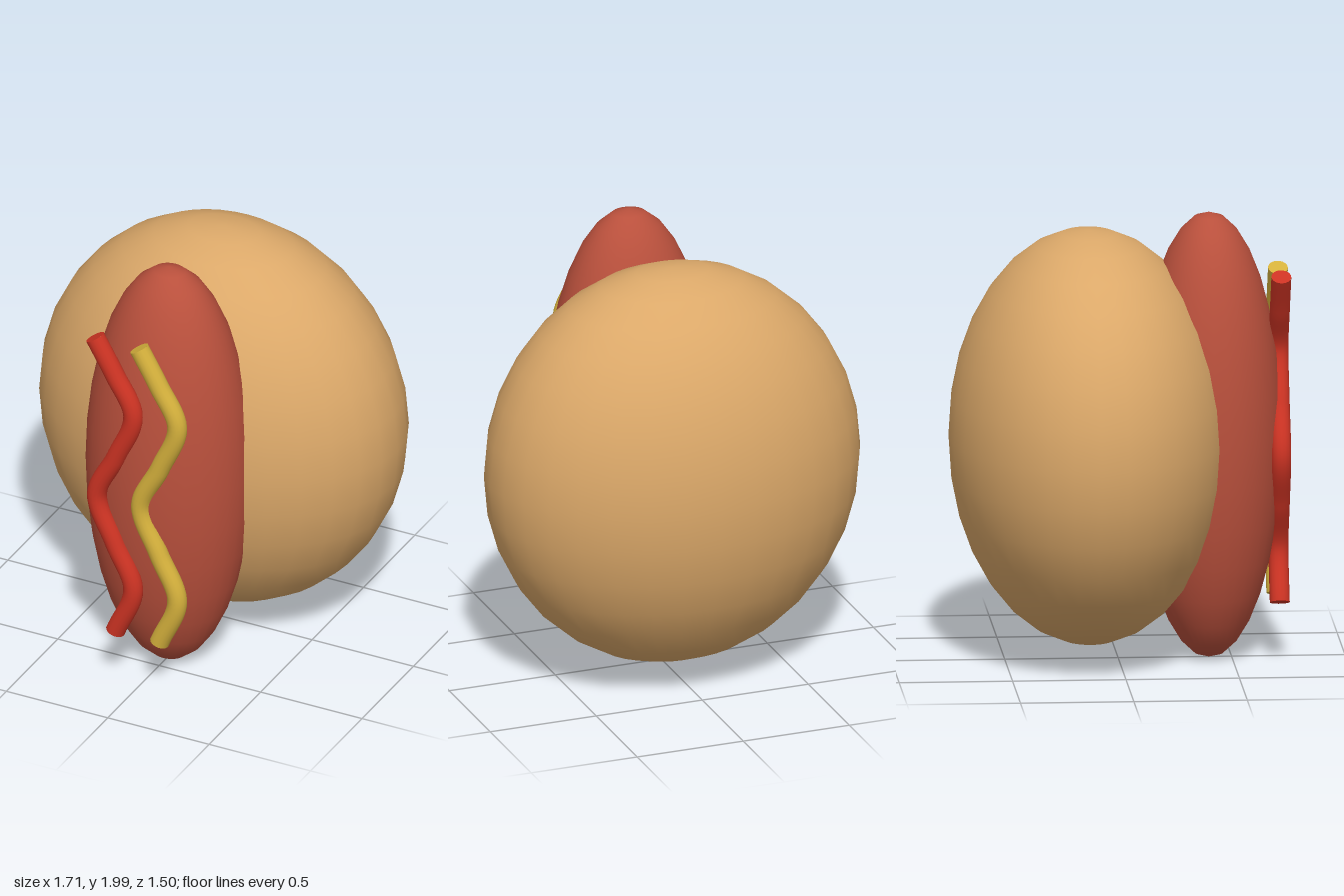
import * as THREE from 'three';

const material = (name, color) => {
  const m = new THREE.MeshStandardMaterial({ color });
  m.name = name;
  return m;
};

// Smooth ellipsoid with its poles on the y axis
function ellipsoid(name, mat, radii, position) {
  const geometry = new THREE.SphereGeometry(1, 32, 16).scale(...radii);
  const mesh = new THREE.Mesh(geometry, mat);
  mesh.name = name;
  mesh.position.set(...position);
  return mesh;
}

// Wavy sauce line with flat caps, lying in a plane of constant z
function sauce(name, mat, x) {
  const radius = 0.044;
  const path = [
    [0.005, 1.745], [0.1, 1.58], [0.193, 1.39], [0.11, 1.16],
    [0.014, 0.94], [0.1, 0.72], [0.193, 0.5], [0.106, 0.267],
  ];
  const curve = new THREE.CatmullRomCurve3(path.map(([px, py]) => new THREE.Vector3(px, py, 0)));
  const group = new THREE.Group();
  group.name = name;
  group.position.set(x, 0, 0.705);

  const line = new THREE.Mesh(new THREE.TubeGeometry(curve, 64, radius, 16), mat);
  line.name = name + 'Line';
  group.add(line);

  for (const t of [0, 1]) {
    const outward = curve.getTangent(t).multiplyScalar(t === 0 ? -1 : 1);
    const cap = new THREE.Mesh(new THREE.CircleGeometry(radius, 16), mat);
    cap.name = name + (t === 0 ? 'TopCap' : 'BottomCap');
    cap.position.copy(curve.getPoint(t));
    cap.quaternion.setFromUnitVectors(new THREE.Vector3(0, 0, 1), outward);
    group.add(cap);
  }
  return group;
}

export function createModel() {
  const model = new THREE.Group();
  model.name = 'hotDog';
  model.add(
    ellipsoid('bun', material('bread', 0xdba869), [0.857, 0.923, 0.617], [0, 1.003, -0.13]),
    ellipsoid('sausage', material('sausageMeat', 0xb9503c), [0.38, 0.997, 0.322], [0, 1.003, 0.4]),
    sauce('ketchup', material('ketchupRed', 0xcc3323), -0.217),
    sauce('mustard', material('mustardYellow', 0xd4b03c), 0),
  );
  return model;
}
